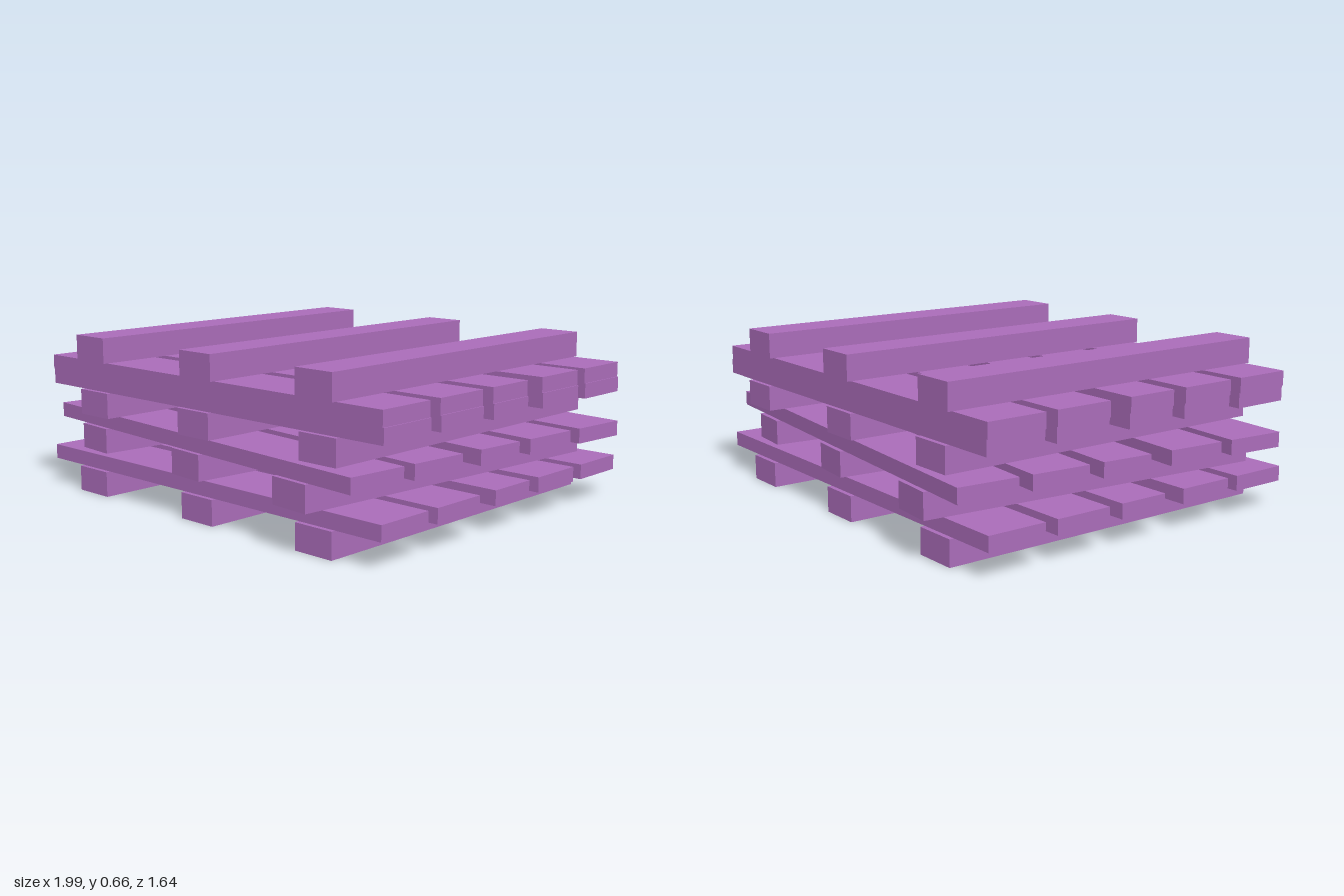
import * as THREE from 'three';

const BEAM_H = 0.105, SLAT_H = 0.061, PALLET_H = BEAM_H + SLAT_H;

// [min, max] extents across the pallet
const BEAMS_X = [[-0.74, -0.56], [-0.08, 0.097], [0.543, 0.722]];
const SLATS_Z = [[-0.738, -0.488], [-0.432, -0.187], [-0.124, 0.093], [0.192, 0.438], [0.49, 0.741]];
const BEAM_Z = [-0.757, 0.76];
const SLAT_X = [-0.939, 0.934];

const material = new THREE.MeshStandardMaterial({ color: 0xaa6cb9 });

function board(name, [x0, x1], [y0, y1], [z0, z1]) {
  const mesh = new THREE.Mesh(new THREE.BoxGeometry(x1 - x0, y1 - y0, z1 - z0), material);
  mesh.position.set((x0 + x1) / 2, (y0 + y1) / 2, (z0 + z1) / 2);
  mesh.name = name;
  return mesh;
}

// One pallet: three beams below, five slats above
function pallet(name) {
  const group = new THREE.Group();
  group.name = name;
  for (const x of BEAMS_X) group.add(board('beam', x, [0, BEAM_H], BEAM_Z));
  for (const z of SLATS_Z) group.add(board('slat', SLAT_X, [BEAM_H, PALLET_H], z));
  return group;
}

export function createModel() {
  const model = new THREE.Group();
  model.name = 'palletStack';

  const bottom = pallet('bottomPallet');

  // Second pallet sits slightly askew
  const askew = pallet('askewPallet');
  askew.position.y = PALLET_H;
  askew.rotation.y = -THREE.MathUtils.degToRad(5);

  // Third pallet is turned half round
  const turned = pallet('turnedPallet');
  turned.position.y = 2 * PALLET_H;
  turned.rotation.y = Math.PI;

  // Top pallet lies upside down, beams up
  const flipped = pallet('flippedPallet');
  flipped.position.y = 4 * PALLET_H;
  flipped.rotation.x = Math.PI;

  model.add(bottom, askew, turned, flipped);
  return model;
}
